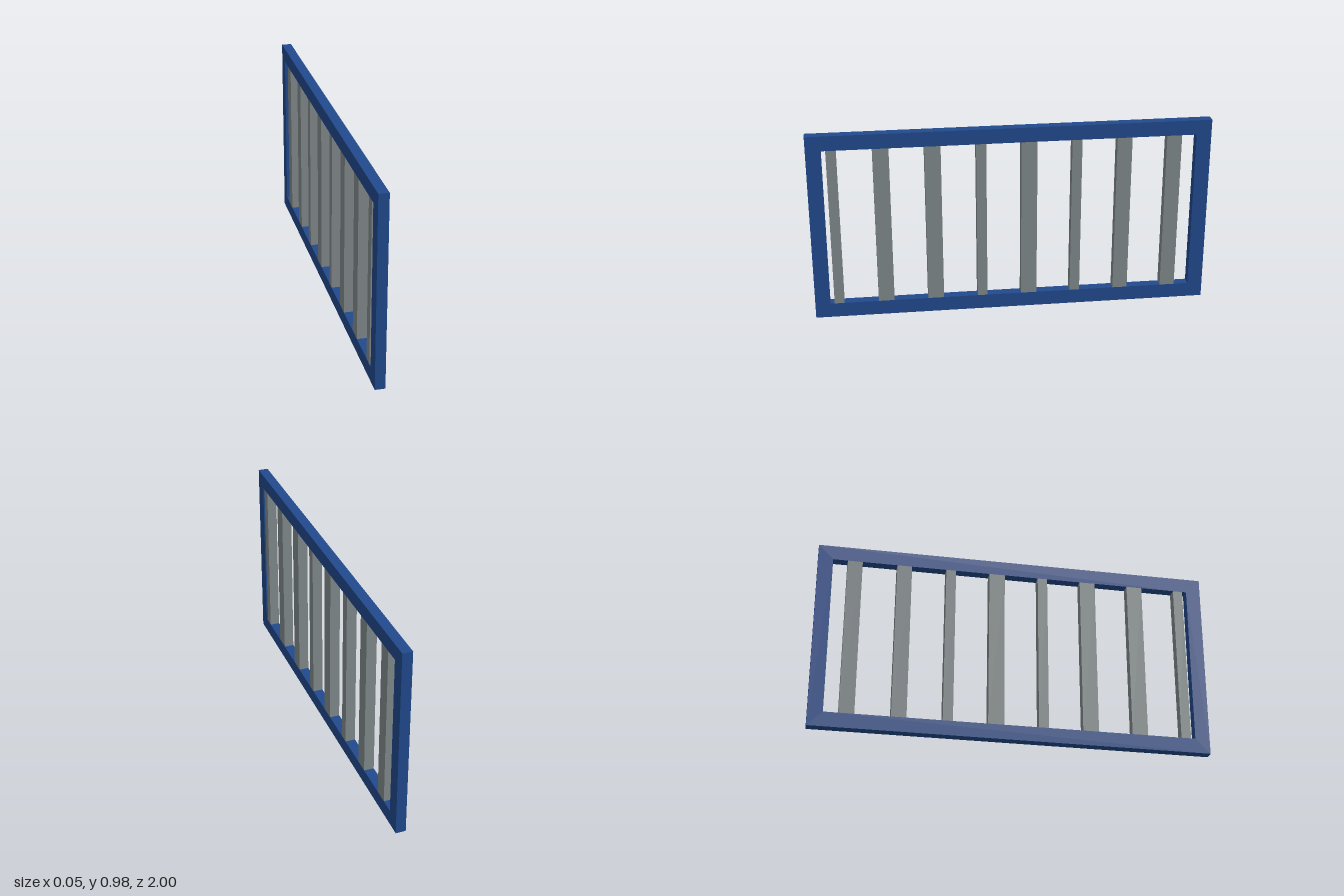
import * as THREE from 'three';

const LENGTH = 2, HEIGHT = 0.975, DEPTH = 0.05, RIM = 0.075;

// Rectangle outline traced on a shape or hole path
function rectangle(path, x0, y0, x1, y1) {
  path.moveTo(x0, y0);
  path.lineTo(x1, y0);
  path.lineTo(x1, y1);
  path.lineTo(x0, y1);
  path.closePath();
  return path;
}

export function createModel() {
  const model = new THREE.Group();
  model.name = 'barredPanel';

  const blue = new THREE.MeshStandardMaterial({ color: 0x214a8e });
  blue.name = 'frameBlue';
  const grey = new THREE.MeshStandardMaterial({ color: 0x828a8c });
  grey.name = 'barGrey';

  // Rectangular frame, one piece, standing along z
  const half = LENGTH / 2;
  const outline = rectangle(new THREE.Shape(), -half, 0, half, HEIGHT);
  outline.holes.push(rectangle(new THREE.Path(), -half + RIM, RIM, half - RIM, HEIGHT - RIM));
  const frameGeometry = new THREE.ExtrudeGeometry(outline, { depth: DEPTH, bevelEnabled: false });
  frameGeometry.translate(0, 0, -DEPTH / 2);
  frameGeometry.rotateY(Math.PI / 2);
  const frame = new THREE.Mesh(frameGeometry, blue);
  frame.name = 'frame';
  model.add(frame);

  // Upright bars of two widths: [centre z, width]
  const bars = new THREE.Group();
  bars.name = 'bars';
  const layout = [
    [0.878, 0.05], [0.64, 0.08], [0.388, 0.08], [0.15, 0.05],
    [-0.088, 0.08], [-0.326, 0.05], [-0.564, 0.075], [-0.814, 0.075],
  ];
  layout.forEach(([z, width], i) => {
    const bar = new THREE.Mesh(new THREE.BoxGeometry(DEPTH, HEIGHT - 2 * RIM, width), grey);
    bar.name = `bar${i + 1}`;
    bar.position.set(0, HEIGHT / 2, z);
    bars.add(bar);
  });
  model.add(bars);

  return model;
}
